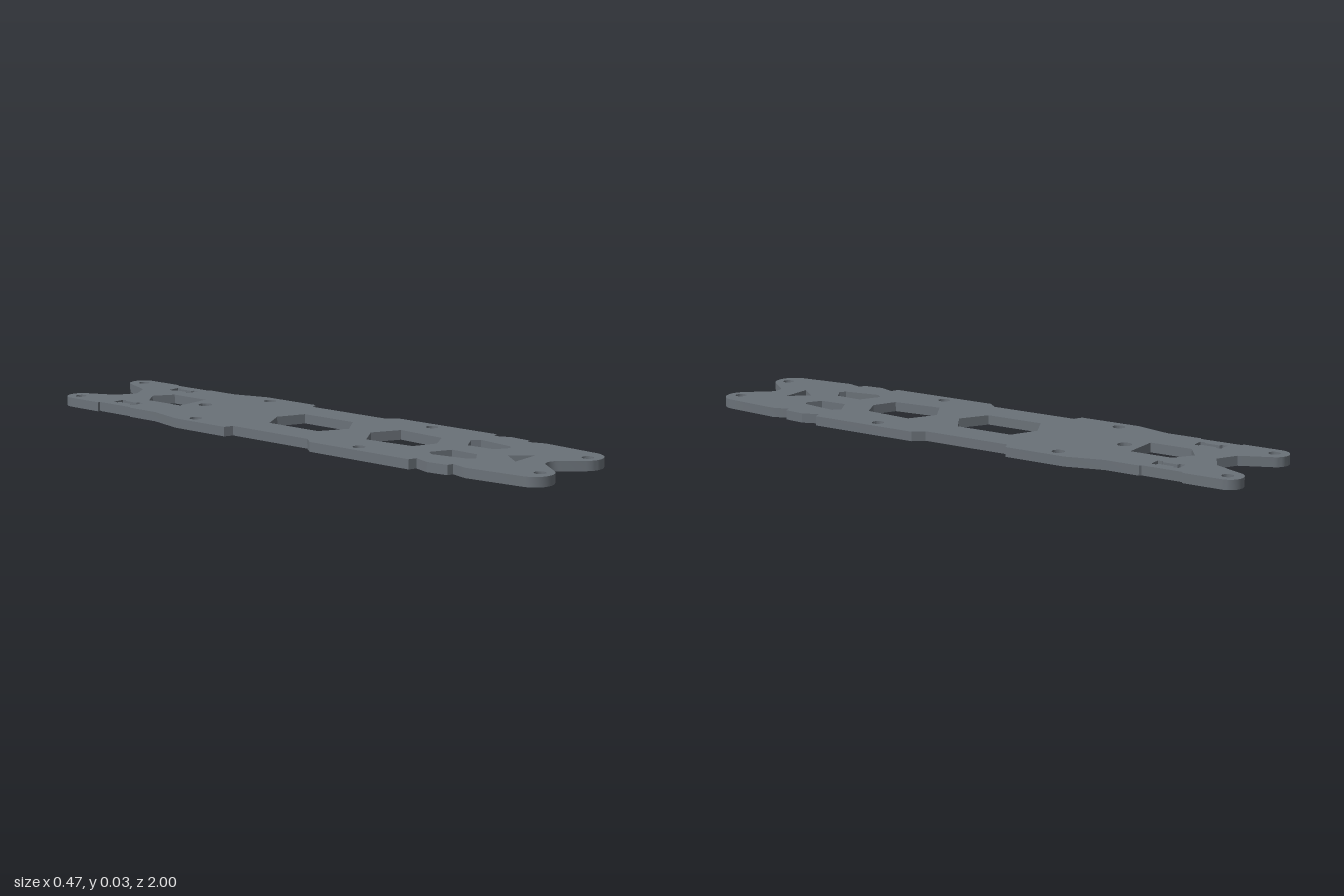
import * as THREE from 'three';
import { toCreasedNormals } from 'three/addons/utils/BufferGeometryUtils.js';

const THICKNESS = 0.032;
const vec = ([x, z]) => new THREE.Vector2(x, z);
const mirror = (pts) => pts.map(([x, z]) => [-x, z]).reverse();

// Points along a circular arc in the plate's plane (x, z)
function arc(cx, cz, r, from, to, steps = 16) {
  return Array.from({ length: steps + 1 }, (_, i) => {
    const a = from + ((to - from) * i) / steps;
    return [cx + r * Math.cos(a), cz + r * Math.sin(a)];
  });
}

// Closes a half profile that starts and ends on or beside the centre line
const symmetric = (half) => [...half, ...mirror(half.filter(([x]) => x > 0))];

function createPlateShape() {
  // Half outline, from the back notch round to the front notch
  const outline = symmetric([
    [0, -0.83], [0.068, -0.868],
    ...arc(0.157, -0.952, 0.048, Math.PI + 0.37, Math.PI * 2),
    [0.205, -0.82], [0.195, -0.82], [0.195, -0.675], [0.202, -0.67], [0.202, -0.55],
    [0.235, -0.425], [0.235, -0.208], [0.205, -0.195],
    [0.205, 0.12], [0.235, 0.155], [0.235, 0.546], [0.208, 0.555],
    [0.229, 0.61], [0.222, 0.682], [0.201, 0.688], [0.219, 0.745],
    ...arc(0.137, 0.935, 0.065, 0.08, Math.PI - 0.7),
    [0.036, 0.916], [0.027, 0.905], [0.014, 0.897], [0, 0.895],
  ]);
  const shape = new THREE.Shape(outline.map(vec));
  const cut = (pts) => shape.holes.push(new THREE.Path(pts.map(vec)));
  const cutPair = (pts) => { cut(pts); cut(mirror(pts)); };
  const circle = (x, z, r) => arc(x, z, r, 0, Math.PI * 2, 24).slice(0, -1);

  // Windows on the centre line
  cut(symmetric([[0, -0.755], [0.065, -0.71], [0.065, -0.563]]));
  cut(symmetric([[0, -0.18], [0.092, -0.135], [0.092, 0.07], [0, 0.127]]));
  cut(symmetric([[0, 0.217], [0.092, 0.27], [0.078, 0.443], [0, 0.48]]));
  cut(symmetric([[0, 0.75], [0.055, 0.815]]));

  // Paired front windows
  cutPair([[0.112, 0.533], [0.133, 0.557], [0.113, 0.683], [0.093, 0.697],
    [0.046, 0.667], [0.042, 0.57]]);

  // Paired waisted strap slots
  cutPair([[0.117, -0.785], [0.162, -0.785], [0.162, -0.768], [0.152, -0.762],
    [0.152, -0.712], [0.162, -0.706], [0.162, -0.69], [0.117, -0.69],
    [0.117, -0.706], [0.127, -0.712], [0.127, -0.762], [0.117, -0.768]]);

  // Screw holes
  cut(circle(0, -0.505, 0.024));
  for (const [x, z, r] of [[0.159, -0.95, 0.019], [0.19, -0.375, 0.021],
    [0.193, 0.32, 0.02], [0.132, 0.955, 0.019]]) cutPair(circle(x, z, r));
  return shape;
}

export function createModel() {
  const group = new THREE.Group();
  group.name = 'framePlate';

  // Flat plate: shape drawn in x and z, extruded downwards and lifted to the ground
  const geometry = new THREE.ExtrudeGeometry(createPlateShape(), {
    depth: THICKNESS, bevelEnabled: false, curveSegments: 1,
  });
  geometry.rotateX(Math.PI / 2);
  geometry.translate(0, THICKNESS, 0);

  const plate = new THREE.Mesh(
    toCreasedNormals(geometry, Math.PI / 7),
    new THREE.MeshStandardMaterial({ color: 0x6a7178 }),
  );
  plate.name = 'plate';
  group.add(plate);
  return group;
}
